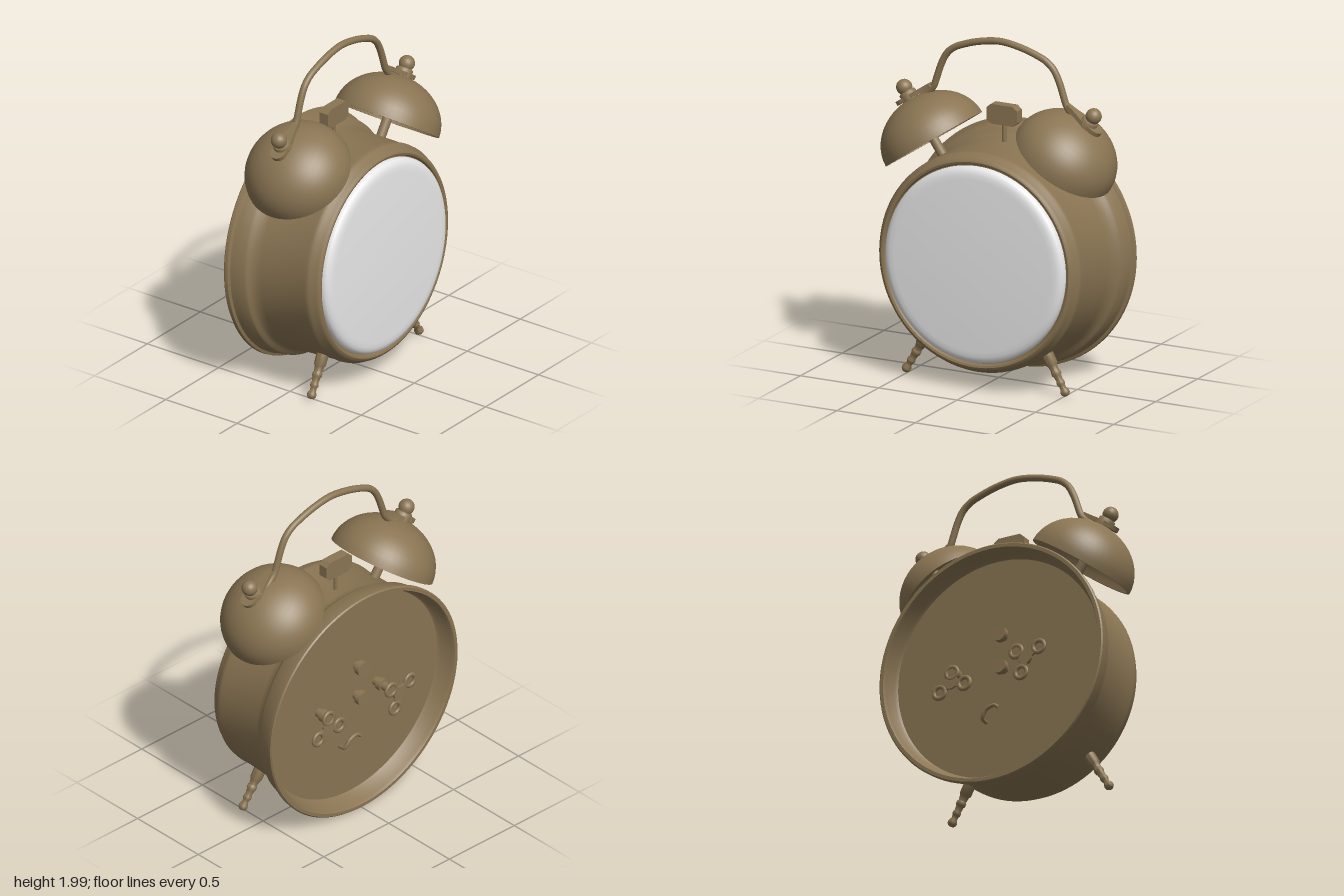
import * as THREE from 'three';
import { toCreasedNormals } from 'three/addons/utils/BufferGeometryUtils.js';

const brass = new THREE.MeshStandardMaterial({ color: 0x8a7553 });
brass.name = 'aged brass';
const white = new THREE.MeshStandardMaterial({ color: 0xffffff });
white.name = 'white dial';

function add(parent, name, geometry, position = [0, 0, 0], material = brass) {
  const mesh = new THREE.Mesh(geometry, material);
  mesh.name = name;
  mesh.position.set(...position);
  parent.add(mesh);
  return mesh;
}

function group(parent, name) {
  const g = new THREE.Group();
  g.name = name;
  parent.add(g);
  return g;
}

// Turned part from [radius, height] pairs, with sharp edges kept
function lathe(points, segments = 32, crease = 0.7) {
  const profile = points.map(([r, y]) => new THREE.Vector2(r, y));
  return toCreasedNormals(new THREE.LatheGeometry(profile, segments), crease);
}

// Cylinder along local z, starting at the origin
function peg(radius, length) {
  return new THREE.CylinderGeometry(radius, radius, length, 20).rotateX(Math.PI / 2).translate(0, 0, length / 2);
}

// Case, recessed back and dial, all turned about the clock's axis
function addCase(model) {
  const body = group(model, 'case');
  body.position.y = 0.738;
  body.rotation.z = -Math.PI / 2 + 0.028;
  add(body, 'caseShell', lathe([
    [0, -0.2], [0.655, -0.2], [0.67, -0.215], [0.685, -0.285], [0.695, -0.303],
    [0.715, -0.303], [0.722, -0.295], [0.72, -0.275], [0.704, -0.268],
    [0.7, -0.25], [0.692, -0.18], [0.684, -0.168], [0.668, -0.16], [0.652, -0.135],
    [0.644, -0.1], [0.636, 0.19], [0.64, 0.21], [0.637, 0.235], [0.622, 0.252],
    [0.62, 0.27], [0.61, 0.284], [0.597, 0.29], [0.585, 0.286], [0.577, 0.27], [0, 0.268],
  ], 96));
  add(body, 'dialGlass', lathe([
    [0.572, 0.265], [0.572, 0.285], [0.565, 0.3], [0.55, 0.311], [0.53, 0.317], [0.5, 0.319], [0, 0.319],
  ], 96), [0, 0, 0], white);
}

// Bell with post, clamp tab and ball knob
function addBell(model, turn) {
  const side = group(model, 'bellAssembly');
  side.rotation.y = turn;
  const bell = group(side, 'bell');
  bell.position.set(0, 1.35, 0.415);
  bell.rotation.x = 0.595;

  const dome = [];
  for (let i = 12; i >= 0; i--) {
    const a = (i / 12) * Math.PI / 2;
    dome.push([0.295 * Math.cos(a), 0.25 * Math.sin(a)]);
  }
  for (let i = 0; i <= 12; i++) {
    const a = (i / 12) * Math.PI / 2;
    dome.push([0.312 * Math.cos(a), 0.265 * Math.sin(a)]);
  }
  add(bell, 'bellDome', lathe(dome, 48));
  add(bell, 'bellPost', new THREE.CylinderGeometry(0.028, 0.028, 0.43, 20), [0, 0.055, 0]);

  // Flattened end of the handle
  const tab = new THREE.Shape();
  tab.moveTo(-0.018, -0.16);
  tab.bezierCurveTo(-0.02, -0.08, -0.048, -0.06, -0.048, 0.03);
  tab.absarc(0, 0.045, 0.048, Math.PI, 0, true);
  tab.bezierCurveTo(0.048, -0.06, 0.02, -0.08, 0.018, -0.16);
  const tabGeometry = new THREE.ExtrudeGeometry(tab, { depth: 0.025, bevelEnabled: false, curveSegments: 10 });
  add(bell, 'handleTab', toCreasedNormals(tabGeometry.rotateX(Math.PI / 2), 0.7), [0, 0.288, 0]);

  add(bell, 'bellNut', lathe([
    [0.05, 0.25], [0.05, 0.302], [0.046, 0.308], [0.038, 0.31], [0.038, 0.325], [0, 0.33],
  ], 24));
  add(bell, 'bellKnob', new THREE.SphereGeometry(0.046, 24, 16), [0, 0.338, 0]);
}

// Carrying handle bent from one rod
function addHandle(model) {
  const half = [[1.59, 0.5], [1.622, 0.455], [1.66, 0.424], [1.72, 0.402], [1.79, 0.378],
    [1.86, 0.342], [1.903, 0.295], [1.93, 0.235], [1.962, 0.13]];
  const points = [
    ...half.map(([y, z]) => new THREE.Vector3(-0.015, y, z)),
    new THREE.Vector3(-0.015, 1.98, 0),
    ...half.slice().reverse().map(([y, z]) => new THREE.Vector3(-0.015, y, -z)),
  ];
  add(model, 'handle', new THREE.TubeGeometry(new THREE.CatmullRomCurve3(points), 90, 0.02, 14));
}

// Striker between the bells
function addHammer(model) {
  const head = new THREE.Shape([
    [-0.097, -0.035], [-0.07, -0.058], [0.07, -0.058], [0.097, -0.035],
    [0.097, 0.035], [0.07, 0.058], [-0.07, 0.058], [-0.097, 0.035],
  ].map(([x, y]) => new THREE.Vector2(x, y)));
  const geometry = new THREE.ExtrudeGeometry(head, { depth: 0.06, bevelEnabled: false });
  add(model, 'hammerHead', geometry.rotateY(Math.PI / 2), [-0.092, 1.54, 0]);
  add(model, 'hammerStem', new THREE.CylinderGeometry(0.012, 0.012, 0.16, 14), [-0.062, 1.42, 0]);
}

// Turned foot, built downward from the case
function addFoot(model, s) {
  const foot = add(model, 'foot', lathe([
    [0, -0.26], [0.016, -0.257], [0.026, -0.245], [0.027, -0.23], [0.018, -0.212],
    [0.018, -0.195], [0.024, -0.185], [0.024, -0.172], [0.02, -0.162], [0.022, -0.135],
    [0.028, -0.125], [0.028, -0.108], [0.023, -0.1], [0.027, -0.07], [0.034, -0.06], [0.036, 0.03], [0, 0.03],
  ], 24), [0.145, 0.238, s * 0.387]);
  foot.rotation.set(-s * 0.53, 0, 0.05);
}

// Winding key: stem with a head of three rings
function addKey(parent, stem, centre, lobes, depth) {
  const key = group(parent, 'windingKey');
  add(key, 'keyStem', peg(0.027, depth - 0.185), [...stem, 0.19]);
  add(key, 'keyCollar', peg(0.038, 0.035), [...stem, 0.235]);
  add(key, 'keyWeb', peg(0.042, 0.014), [...centre, depth - 0.007]);
  for (const [x, y] of lobes) {
    const ring = add(key, 'keyRing', new THREE.TorusGeometry(0.036, 0.013, 10, 24), [x, y, depth]);
    ring.scale.z = 0.8;
    const dx = x - centre[0], dy = y - centre[1], length = Math.hypot(dx, dy) - 0.036;
    const angle = Math.atan2(dy, dx);
    const arm = add(key, 'keyArm', new THREE.BoxGeometry(length, 0.045, 0.014),
      [centre[0] + Math.cos(angle) * length / 2, centre[1] + Math.sin(angle) * length / 2, depth]);
    arm.rotation.z = angle;
  }
}

// Fittings on the back; here local x runs along z and local z points backward
function addBackFittings(model) {
  const back = group(model, 'backFittings');
  back.rotation.y = -Math.PI / 2;
  addKey(back, [0.18, 0.745], [0.24, 0.7], [[0.325, 0.745], [0.21, 0.61], [0.18, 0.745]], 0.328);
  addKey(back, [-0.26, 0.73], [-0.265, 0.675], [[-0.18, 0.65], [-0.34, 0.625], [-0.26, 0.73]], 0.285);
  for (const y of [0.92, 0.72]) {
    add(back, 'settingKnob', peg(0.028, 0.05), [0.03, y, 0.19]);
    add(back, 'settingKnobCap', peg(0.044, 0.035), [0.03, y, 0.23]);
  }
  const hook = new THREE.CatmullRomCurve3([
    [-0.09, 0.42, 0.19], [-0.09, 0.43, 0.235], [-0.06, 0.475, 0.245], [-0.01, 0.49, 0.245], [0.02, 0.47, 0.245],
  ].map((p) => new THREE.Vector3(...p)));
  add(back, 'alarmLever', new THREE.TubeGeometry(hook, 24, 0.011, 10));
}

export function createModel() {
  const model = new THREE.Group();
  model.name = 'alarmClock';
  addCase(model);
  for (const turn of [0, Math.PI]) addBell(model, turn);
  addHandle(model);
  addHammer(model);
  for (const s of [1, -1]) addFoot(model, s);
  addBackFittings(model);
  return model;
}
